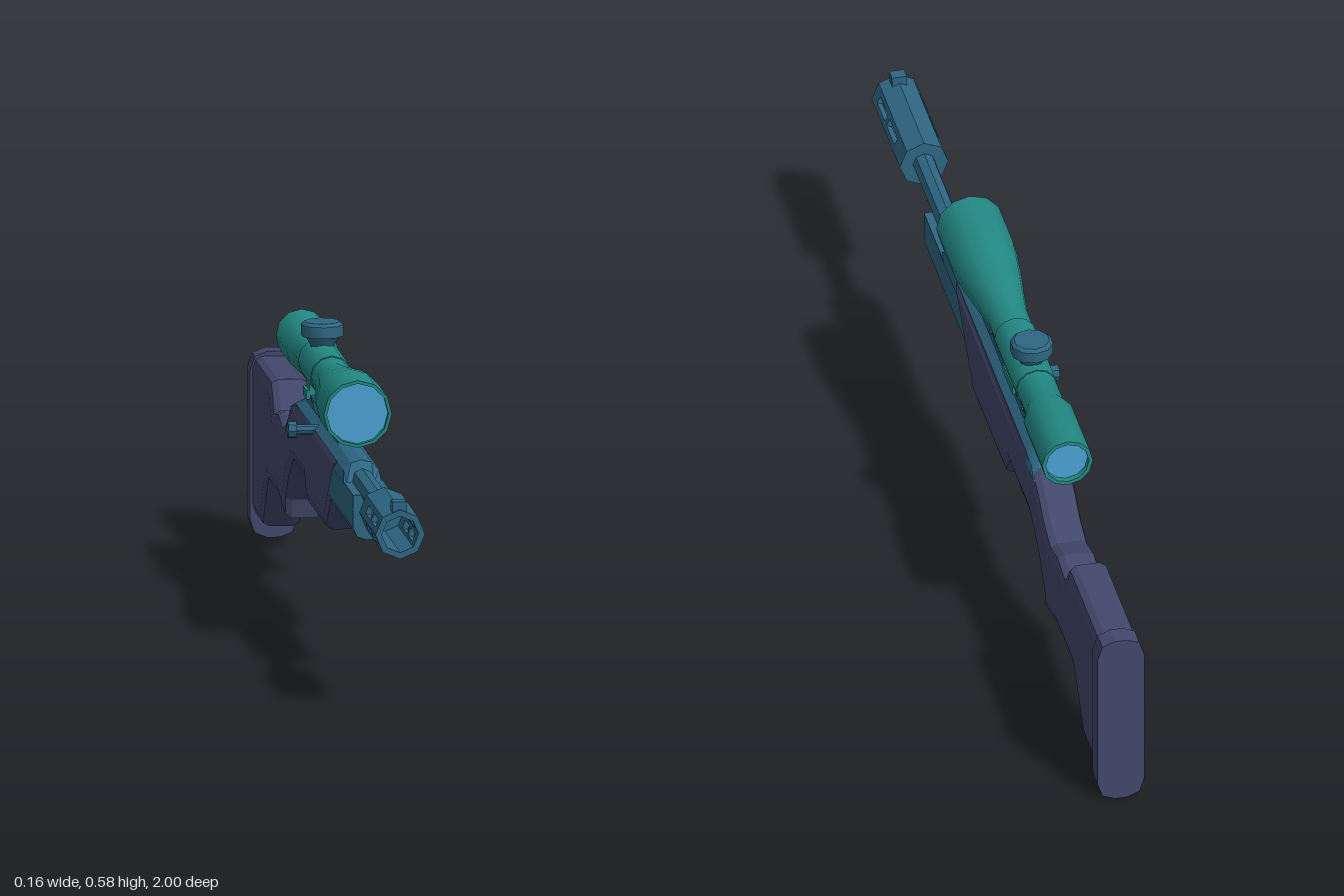
import * as THREE from 'three';
import { toCreasedNormals } from 'three/addons/utils/BufferGeometryUtils.js';
import { ParametricGeometry } from 'three/addons/geometries/ParametricGeometry.js';

const paint = (name, color) => {
  const m = new THREE.MeshStandardMaterial({ color });
  m.name = name;
  return m;
};

export function createModel() {
  const steel = paint('blue steel', 0x2e6683);
  const teal = paint('scope teal', 0x238a85);
  const purple = paint('stock purple', 0x42486c);
  const glass = paint('lens blue', 0x4aa3d4);

  const model = new THREE.Group();
  model.name = 'rifle';
  const body = new THREE.Group();
  body.name = 'body';
  body.position.x = 0.009;
  model.add(body);

  const add = (name, geo, mat, x = 0, y = 0, z = 0) => {
    const mesh = new THREE.Mesh(geo, mat);
    mesh.name = name;
    mesh.position.set(x, y, z);
    body.add(mesh);
    return mesh;
  };
  const box = (name, mat, w, y0, y1, z0, z1) =>
    add(name, new THREE.BoxGeometry(w, y1 - y0, z1 - z0), mat, 0, (y0 + y1) / 2, (z0 + z1) / 2);
  const flat = (geo) => {
    const g = geo.toNonIndexed();
    g.computeVertexNormals();
    return g;
  };
  // cylinder along z
  const rod = (name, mat, r, sides, y, z0, z1) =>
    add(name, flat(new THREE.CylinderGeometry(r, r, z1 - z0, sides).rotateX(Math.PI / 2)), mat, 0, y, (z0 + z1) / 2);
  // turned part from [radius, height] pairs, going upwards
  const turned = (pts, sides) =>
    toCreasedNormals(new THREE.LatheGeometry(pts.map((p) => new THREE.Vector2(...p)), sides), 0.7);
  // side profile from [z, y] pairs, extruded across x
  const sideVecs = (pts) => pts.map(([z, y]) => new THREE.Vector2(-z, y));
  const sideways = (pts, width, bevelSize = 0, bevelThickness = 0, hole = null) => {
    const shape = new THREE.Shape(sideVecs(pts));
    if (hole) shape.holes.push(new THREE.Path(sideVecs(hole)));
    const depth = width - 2 * bevelThickness;
    return new THREE.ExtrudeGeometry(shape, {
      depth, bevelEnabled: bevelSize > 0, bevelSize, bevelThickness, bevelOffset: -bevelSize, bevelSegments: 2,
    }).translate(0, 0, -depth / 2).rotateY(Math.PI / 2);
  };
  // cross-section from [x, y] pairs, extruded from z0 to z1
  const lengthways = (pts, z0, z1) =>
    new THREE.ExtrudeGeometry(new THREE.Shape(pts.map((p) => new THREE.Vector2(...p))), {
      depth: z1 - z0, bevelEnabled: false,
    }).translate(0, 0, z0);

  // stock with grip and bevelled edges
  add('stock', sideways([
    [0.312, 0.392], [0.142, 0.221], [-0.142, 0.221], [-0.176, 0.265], [-0.36, 0.265], [-0.437, 0.217],
    [-0.483, 0.165], [-0.49, 0.126], [-0.592, 0.154], [-0.747, 0.154], [-0.838, 0.045], [-0.98, 0.045],
    [-0.98, 0.368], [-0.704, 0.368], [-0.66, 0.313], [-0.6, 0.324], [-0.533, 0.308], [-0.474, 0.329],
    [-0.437, 0.356], [-0.394, 0.381], [-0.32, 0.393],
  ], 0.084, 0.024, 0.018), purple);
  const padEdge = [[0.048, 0.04], [0.038, 0.01], [0.013, 0]];
  const padLower = [...padEdge, ...padEdge.map(([x, y]) => [-x, y]).reverse()];
  const padUpper = padLower.map(([x, y]) => [-x, 0.378 - y]);
  add('buttPad', lengthways([...padLower, ...padUpper].reverse(), -1, -0.956), purple);

  // fore-end
  add('foreEnd', lengthways([
    [0.04, 0.372], [-0.04, 0.372], [-0.04, 0.305], [-0.032, 0.288], [-0.014, 0.281],
    [0.014, 0.281], [0.032, 0.288], [0.04, 0.305],
  ], 0.1, 0.578), steel);

  // arched receiver, sloping down at both ends: [z, height]
  const arch = [[-0.4, 0], [-0.36, 0.025], [-0.313, 0.037], [0.4, 0.04], [0.44, 0]];
  add('receiver', flat(new ParametricGeometry((u, v, out) => {
    const [z, h] = arch[Math.round(u * 4)];
    const a = v * Math.PI;
    out.set(-0.041 * Math.cos(a), 0.37 + h * Math.sin(a), z);
  }, 4, 6)), steel);

  // barrel and muzzle brake made of eight panels, slotted on the sides
  rod('barrel', steel, 0.023, 8, 0.372, 0.38, 0.76);
  rod('muzzleBack', steel, 0.05, 8, 0.37, 0.75, 0.765);
  const apothem = 0.05 * Math.cos(Math.PI / 8);
  const half = 0.05 * Math.sin(Math.PI / 8);
  const rect = (Type, x0, x1, h) => new Type([[x0, -h], [x1, -h], [x1, h], [x0, h]].map((p) => new THREE.Vector2(...p)));
  for (let k = 0; k < 8; k++) {
    const panel = rect(THREE.Shape, 0.75, 1, half);
    if ([0, 3, 4, 7].includes(k)) {
      panel.holes.push(rect(THREE.Path, 0.815, 0.885, 0.008), rect(THREE.Path, 0.9, 0.968, 0.008));
    }
    const geo = new THREE.ExtrudeGeometry(panel, { depth: 0.012, bevelEnabled: false })
      .translate(0, 0, apothem - 0.012).rotateY(-Math.PI / 2).rotateZ((k + 0.5) * Math.PI / 4);
    add('muzzlePanel', geo, steel, 0, 0.37, 0);
  }
  box('frontSight', steel, 0.03, 0.408, 0.435, 0.968, 0.993);

  // toothed rail and scope mounts
  box('rail', steel, 0.04, 0.4, 0.414, -0.31, 0.185);
  for (let i = 0; i < 12; i++) box('railTooth', steel, 0.04, 0.412, 0.423, 0.16 - i * 0.04, 0.182 - i * 0.04);
  for (const [z0, z1] of [[-0.147, -0.06], [-0.303, -0.25]]) {
    box('scopeMount', teal, 0.04, 0.418, 0.465, z0, z1);
    box('mountFoot', teal, 0.052, 0.412, 0.43, z0, z1);
  }

  // scope
  const scopeY = 0.492;
  add('scopeTube', turned([
    [0.044, -0.505], [0.044, -0.525], [0.052, -0.525], [0.052, -0.36], [0.041, -0.33], [0.041, -0.25],
    [0.043, -0.25], [0.043, -0.06], [0.041, -0.06], [0.041, 0], [0.05, 0.075], [0.062, 0.16],
    [0.0685, 0.22], [0.0685, 0.345], [0.062, 0.345], [0.062, 0.325],
  ], 12).rotateX(Math.PI / 2), teal, 0, scopeY, 0);
  add('frontLens', new THREE.CircleGeometry(0.063, 12).rotateZ(Math.PI / 2), glass, 0, scopeY, 0.332);
  add('rearLens', new THREE.CircleGeometry(0.045, 12).rotateY(Math.PI), glass, 0, scopeY, -0.512);
  add('scopeTurret', turned([
    [0.024, 0.515], [0.024, 0.53], [0.036, 0.55], [0.043, 0.55], [0.043, 0.573], [0.036, 0.579], [0, 0.579],
  ], 10), steel, 0, 0, -0.205);

  // bolt handle on the right side
  const bolt = (name, r, x0, x1) =>
    add(name, flat(new THREE.CylinderGeometry(r, r, x1 - x0, 8).rotateZ(Math.PI / 2)), steel, (x0 + x1) / 2, 0.388, -0.055);
  bolt('boltShaft', 0.01, -0.075, -0.02);
  bolt('boltKnob', 0.017, -0.089, -0.072);

  // trigger guard and trigger
  add('triggerGuard', sideways([
    [-0.145, 0.275], [-0.152, 0.24], [-0.17, 0.2], [-0.297, 0.2], [-0.317, 0.222], [-0.322, 0.275],
  ], 0.028, 0, 0, [
    [-0.206, 0.258], [-0.206, 0.228], [-0.222, 0.211], [-0.288, 0.211], [-0.304, 0.228], [-0.308, 0.258],
  ]), steel);
  add('trigger', sideways([
    [-0.27, 0.265], [-0.283, 0.24], [-0.282, 0.218], [-0.29, 0.218], [-0.295, 0.24], [-0.288, 0.265],
  ], 0.014), steel);

  return model;
}
